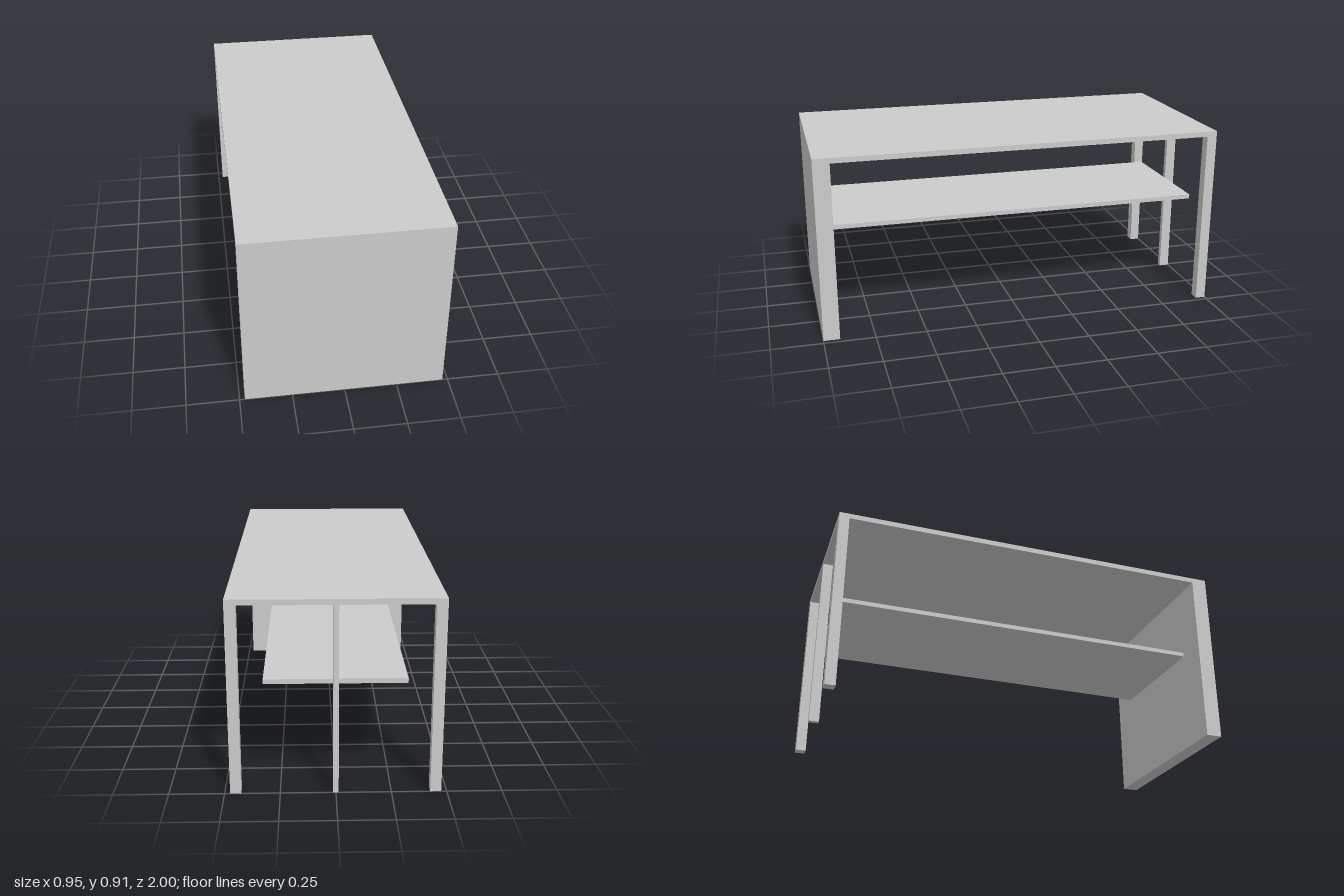
import * as THREE from 'three';

const material = new THREE.MeshStandardMaterial({ color: 0xcccccc });

// Box given by its lower and upper limits on each axis
function block(name, [x0, x1], [y0, y1], [z0, z1]) {
  const mesh = new THREE.Mesh(new THREE.BoxGeometry(x1 - x0, y1 - y0, z1 - z0), material);
  mesh.position.set((x0 + x1) / 2, (y0 + y1) / 2, (z0 + z1) / 2);
  mesh.name = name;
  return mesh;
}

export function createModel() {
  const desk = new THREE.Group();
  desk.name = 'desk';

  const halfWidth = 0.475, height = 0.906, underside = 0.88;
  const panelInner = 0.92, leg = 0.05;

  // Table top and the full-width panel carrying its front end
  desk.add(block('tableTop', [-halfWidth, halfWidth], [underside, height], [-1, 1]));
  desk.add(block('frontPanel', [-halfWidth, halfWidth], [0, underside], [panelInner, 1]));

  // Square corner legs at the back
  for (const [name, x] of [['leftLeg', halfWidth - leg], ['rightLeg', -halfWidth]]) {
    desk.add(block(name, [x, x + leg], [0, underside], [-1, -1 + leg]));
  }

  // Slim central post and the shelf it supports
  desk.add(block('centrePost', [-0.0125, 0.0125], [0, underside], [-1, -1 + leg]));
  desk.add(block('shelf', [-0.32, 0.32], [0.506, 0.528], [-1 + leg, panelInner]));

  return desk;
}
